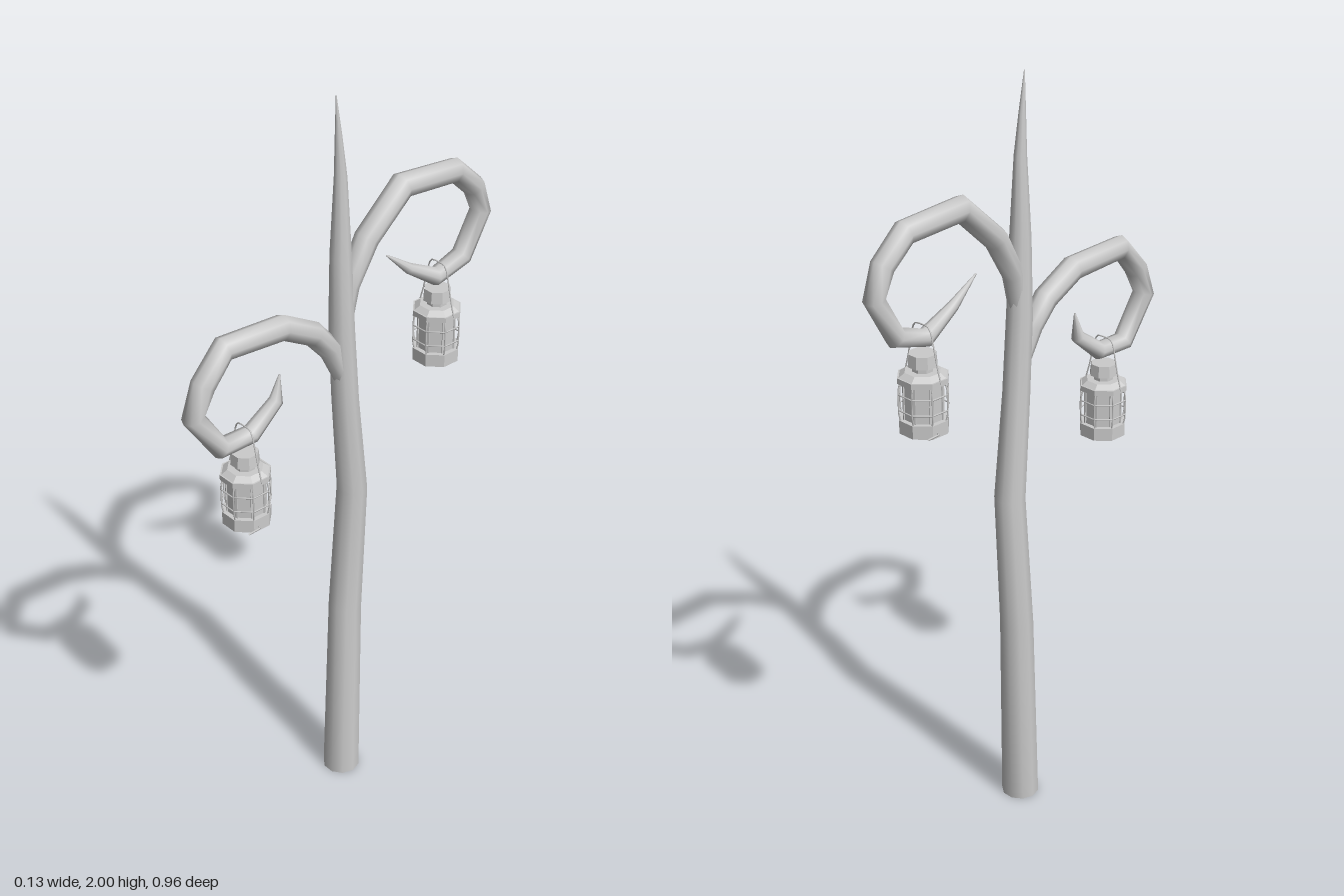
import * as THREE from 'three';

const metal = new THREE.MeshStandardMaterial({ color: 0xcccccc, side: THREE.DoubleSide });
const faceted = new THREE.MeshStandardMaterial({ color: 0xcccccc, flatShading: true });

// Tapered tube through rings of [x, y, z, radius], smooth shaded, open at the start
function sweep(name, rings, sides) {
  const centres = rings.map(([x, y, z]) => new THREE.Vector3(x, y, z));
  const xAxis = new THREE.Vector3(1, 0, 0);
  const positions = [], indices = [];
  rings.forEach((ring, i) => {
    const before = centres[Math.max(i - 1, 0)], after = centres[Math.min(i + 1, rings.length - 1)];
    const tangent = i === 0 && ring[1] === 0
      ? new THREE.Vector3(0, 1, 0)
      : after.clone().sub(before).normalize();
    const v = tangent.clone().cross(xAxis).normalize();
    const u = v.clone().cross(tangent);
    for (let j = 0; j < sides; j++) {
      const a = (j / sides) * Math.PI * 2;
      const p = centres[i].clone()
        .addScaledVector(u, Math.cos(a) * ring[3])
        .addScaledVector(v, Math.sin(a) * ring[3]);
      positions.push(p.x, p.y, p.z);
      if (i < rings.length - 1) {
        const a0 = i * sides + j, b0 = i * sides + (j + 1) % sides;
        indices.push(a0, b0, a0 + sides, b0, b0 + sides, a0 + sides);
      }
    }
  });
  const geometry = new THREE.BufferGeometry();
  geometry.setAttribute('position', new THREE.Float32BufferAttribute(positions, 3));
  geometry.setIndex(indices);
  geometry.computeVertexNormals();
  const mesh = new THREE.Mesh(geometry, metal);
  mesh.name = name;
  return mesh;
}

// Thin wire following straight segments between points
function wire(name, points, radius = 0.002) {
  const path = new THREE.CurvePath();
  const pts = points.map((p) => new THREE.Vector3(...p));
  for (let i = 1; i < pts.length; i++) path.add(new THREE.LineCurve3(pts[i - 1], pts[i]));
  const mesh = new THREE.Mesh(new THREE.TubeGeometry(path, (pts.length - 1) * 4, radius, 5), metal);
  mesh.name = name;
  return mesh;
}

// Eight-sided drum between two heights
function drum(name, bottom, top, rBottom, rTop = rBottom) {
  const mesh = new THREE.Mesh(new THREE.CylinderGeometry(rTop, rBottom, top - bottom, 8), faceted);
  mesh.position.y = (bottom + top) / 2;
  mesh.rotation.y = Math.PI / 8;
  mesh.name = name;
  return mesh;
}

function createLantern(name) {
  const lantern = new THREE.Group();
  lantern.name = name;
  lantern.add(
    drum('lanternBase', 0, 0.034, 0.062),
    drum('lanternGlass', 0.034, 0.13, 0.049),
    drum('lanternRim', 0.128, 0.142, 0.064),
    drum('lanternShoulder', 0.142, 0.153, 0.06, 0.045),
    drum('lanternNeck', 0.153, 0.168, 0.026),
    drum('lanternCap', 0.166, 0.197, 0.037, 0.034),
  );
  // Cage of upright guards and horizontal hoops
  const at = (k, r, y) => {
    const a = (k + 0.5) * Math.PI / 4;
    return [Math.cos(a) * r, y, Math.sin(a) * r];
  };
  for (let k = 0; k < 8; k++) {
    lantern.add(wire('guardWire', [at(k, 0.057, 0.03), at(k, 0.062, 0.05), at(k, 0.062, 0.11), at(k, 0.057, 0.13)]));
    const post = new THREE.Mesh(new THREE.BoxGeometry(0.006, 0.096, 0.006), faceted);
    post.position.set(...at(k, 0.048, 0.082));
    post.rotation.y = -(k + 0.5) * Math.PI / 4;
    post.name = 'glassPost';
    lantern.add(post);
  }
  for (const y of [0.06, 0.1]) {
    const loop = [];
    for (let k = 0; k <= 8; k++) loop.push(at(k, 0.062, y));
    lantern.add(wire('guardHoop', loop));
  }
  // Bail handle passing over the branch, and the winding lever
  lantern.add(
    wire('bailHandle', [[-0.062, 0.135, 0], [-0.05, 0.175, 0], [-0.031, 0.255, 0], [-0.02, 0.268, 0],
      [0.02, 0.268, 0], [0.031, 0.255, 0], [0.05, 0.175, 0], [0.062, 0.135, 0]]),
    wire('windingLever', [[0.05, 0.012, 0.01], [0.065, 0.012, 0.01], [0.063, 0.008, 0.045]], 0.0025),
  );
  return lantern;
}

export function createModel() {
  const model = new THREE.Group();
  model.name = 'lanternPost';

  // Gently bent trunk ending in a spike
  model.add(sweep('trunk', [
    [-0.003, 0, 0, 0.05], [-0.01, 0.55, -0.02, 0.044], [-0.006, 0.92, -0.04, 0.04],
    [-0.002, 1.2, -0.013, 0.035], [0, 1.4, 0, 0.033], [0, 1.6, 0.003, 0.027],
    [0, 1.8, 0.003, 0.016], [0, 1.9, 0.009, 0.009], [0, 2, 0.016, 0.001],
  ], 10));

  // Curled branches, listed as [z, y, radius]
  const branch = (name, rows) => model.add(sweep(name, rows.map(([z, y, r]) => [0, y, z, r]), 8));
  branch('backBranch', [
    [0, 1.38, 0.02], [-0.02, 1.51, 0.028], [-0.078, 1.615, 0.031], [-0.19, 1.717, 0.033],
    [-0.362, 1.703, 0.031], [-0.43, 1.64, 0.029], [-0.457, 1.567, 0.027], [-0.397, 1.46, 0.027],
    [-0.307, 1.433, 0.024], [-0.217, 1.487, 0.014], [-0.143, 1.547, 0.002],
  ]);
  branch('frontBranch', [
    [-0.005, 1.25, 0.02], [0.04, 1.36, 0.029], [0.09, 1.42, 0.031], [0.185, 1.473, 0.032],
    [0.357, 1.483, 0.031], [0.42, 1.41, 0.03], [0.452, 1.335, 0.028], [0.377, 1.222, 0.027],
    [0.285, 1.222, 0.024], [0.207, 1.283, 0.018], [0.195, 1.35, 0.002],
  ]);

  // Hanging lanterns, turned opposite ways
  const frontLantern = createLantern('frontLantern');
  frontLantern.position.set(0, 0.985, 0.306);
  const backLantern = createLantern('backLantern');
  backLantern.position.set(0, 1.202, -0.317);
  backLantern.rotation.y = Math.PI;
  model.add(frontLantern, backLantern);
  return model;
}
